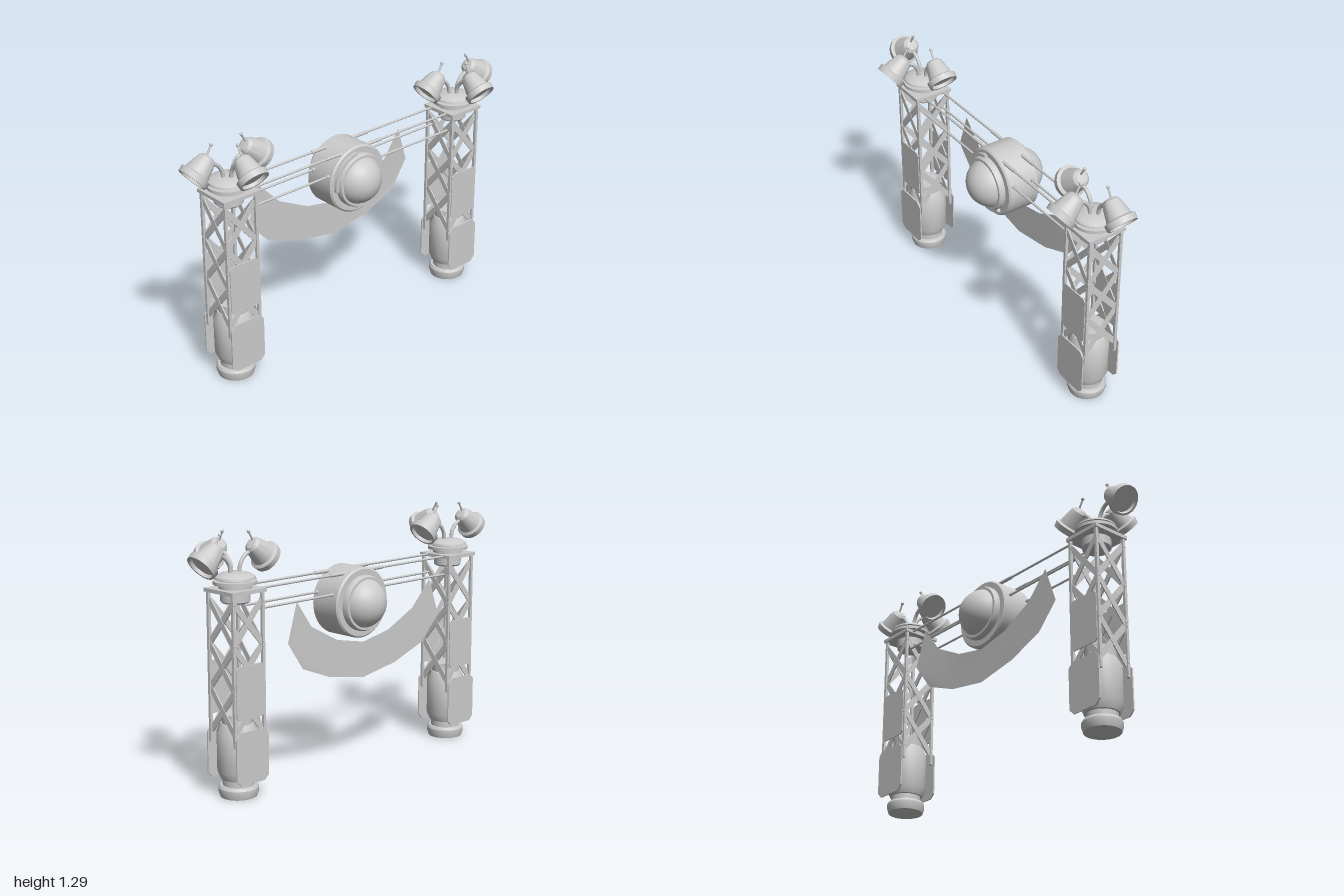
import * as THREE from 'three';
import { toCreasedNormals } from 'three/addons/utils/BufferGeometryUtils.js';

const grey = new THREE.MeshStandardMaterial({ color: 0xcccccc });
const greyDouble = new THREE.MeshStandardMaterial({ color: 0xcccccc, side: THREE.DoubleSide });

function add(parent, name, geometry, x = 0, y = 0, z = 0, material = grey) {
  const mesh = new THREE.Mesh(geometry, material);
  mesh.name = name;
  mesh.position.set(x, y, z);
  parent.add(mesh);
  return mesh;
}

// Turned part from [radius, height] pairs, listed bottom to top
function lathe(points, segments = 32) {
  const profile = points.map(([r, y]) => new THREE.Vector2(r, y));
  return toCreasedNormals(new THREE.LatheGeometry(profile, segments), 0.5);
}

// Straight round rod between two points
function rod(parent, name, a, b, radius) {
  const from = new THREE.Vector3(...a), to = new THREE.Vector3(...b);
  const dir = to.clone().sub(from);
  const mesh = add(parent, name, new THREE.CylinderGeometry(radius, radius, dir.length(), 10));
  mesh.position.copy(from).add(to).multiplyScalar(0.5);
  mesh.quaternion.setFromUnitVectors(new THREE.Vector3(0, 1, 0), dir.normalize());
  return mesh;
}

// Flat plate with cut corners
function panel(w, h, cut, depth) {
  const x = w / 2, y = h / 2;
  const corners = [[-x + cut, -y], [x - cut, -y], [x, -y + cut], [x, y - cut],
    [x - cut, y], [-x + cut, y], [-x, y - cut], [-x, -y + cut]];
  const shape = new THREE.Shape(corners.map(([px, py]) => new THREE.Vector2(px, py)));
  return new THREE.ExtrudeGeometry(shape, { depth, bevelEnabled: false }).translate(0, 0, -depth / 2);
}

// Bell lamp on a bent arm, reaching out along +x
function createLamp() {
  const lamp = new THREE.Group();
  lamp.name = 'lamp';
  const arm = new THREE.CatmullRomCurve3([[0.025, 1.08], [0.035, 1.135], [0.07, 1.175], [0.13, 1.185]]
    .map(([x, y]) => new THREE.Vector3(x, y, 0)));
  add(lamp, 'lampArm', new THREE.TubeGeometry(arm, 16, 0.01, 10));
  const bell = add(lamp, 'lampBell', lathe([[0, 0.018], [0.062, 0.018], [0.065, 0], [0.075, 0], [0.078, 0.03],
    [0.063, 0.038], [0.049, 0.1], [0.042, 0.122], [0.028, 0.134], [0, 0.138]]), 0.205, 1.138);
  bell.rotation.z = 0.885;
  rod(lamp, 'antenna', [0.122, 1.22, 0], [0.087, 1.28, 0], 0.005);
  add(lamp, 'antennaTip', new THREE.SphereGeometry(0.0085, 12, 8), 0.087, 1.28, 0);
  return lamp;
}

function createTower() {
  const tower = new THREE.Group();
  tower.name = 'tower';

  // Canister base
  add(tower, 'baseCanister', lathe([[0, 0], [0.09, 0], [0.098, 0.025], [0.098, 0.045], [0.09, 0.058], [0.077, 0.058],
    [0.077, 0.088], [0.085, 0.09], [0.102, 0.13], [0.102, 0.325], [0.082, 0.365], [0.076, 0.367], [0.076, 0.415], [0, 0.415]]));

  // Corner posts
  for (const x of [-1, 1]) for (const z of [-1, 1])
    add(tower, 'cornerPost', new THREE.BoxGeometry(0.015, 0.735, 0.015), x * 0.09, 0.638, z * 0.09);

  // Crossed braces on all four faces
  const half = 0.105;
  for (let side = 0; side < 4; side++) {
    const face = new THREE.Group();
    face.name = 'bracedFace';
    face.rotation.y = side * Math.PI / 2;
    for (const y of [0.435, 0.648, 0.862]) for (const s of [-1, 1]) {
      const bar = add(face, 'crossBrace', new THREE.BoxGeometry(0.03, 2 * Math.hypot(half, 0.088), 0.006), 0, y, 0.088 + s * 0.001);
      bar.rotation.z = s * Math.atan2(0.088, half);
    }
    tower.add(face);
  }

  // Front and back plates
  for (const s of [-1, 1]) {
    add(tower, 'upperPanel', panel(0.172, 0.262, 0.014, 0.006), 0, 0.536, s * 0.099);
    add(tower, 'lowerPanel', panel(0.2, 0.262, 0.026, 0.007), 0, 0.216, s * 0.108);
  }

  // Cap plate and turned head
  add(tower, 'capPlate', new THREE.BoxGeometry(0.21, 0.018, 0.21), 0, 1.013, 0);
  add(tower, 'capPlug', lathe([[0, 0.952], [0.064, 0.952], [0.072, 0.96], [0.072, 1.005]]));
  add(tower, 'head', lathe([[0.078, 1.02], [0.078, 1.042], [0.106, 1.042], [0.106, 1.058], [0.085, 1.06],
    [0.085, 1.067], [0.1, 1.067], [0.097, 1.077], [0.075, 1.09], [0.045, 1.097], [0, 1.099]]));

  // Three lamps: both sides and front
  for (const angle of [0, Math.PI, -Math.PI / 2]) {
    const lamp = createLamp();
    lamp.rotation.y = angle;
    tower.add(lamp);
  }
  return tower;
}

// Drum with a glass-like dome at each end, its axis along z
function createDrum() {
  const drum = new THREE.Group();
  drum.name = 'centralDrum';
  const body = add(drum, 'drumBody', lathe([[0, -0.09], [0.172, -0.09], [0.18, -0.082], [0.18, 0.082], [0.172, 0.09], [0, 0.09]], 48));
  body.rotation.x = Math.PI / 2;
  for (const s of [-1, 1]) {
    const end = new THREE.Group();
    end.name = 'drumEnd';
    end.rotation.x = s * Math.PI / 2;
    add(end, 'domeCollar', lathe([[0.142, 0.088], [0.142, 0.108], [0.135, 0.122], [0.118, 0.122]], 48));
    add(end, 'dome', new THREE.SphereGeometry(0.13, 40, 16, 0, Math.PI * 2, 0, Math.PI / 2), 0, 0.078, 0);
    drum.add(end);
  }
  // Raised partial rims on the front
  for (const [from, to] of [[1.7, 3.3], [4.6, 5.4]]) {
    const arc = new THREE.Shape();
    arc.absarc(0, 0, 0.157, from, to, false);
    arc.absarc(0, 0, 0.136, to, from, true);
    add(drum, 'rimSegment', new THREE.ExtrudeGeometry(arc, { depth: 0.022, bevelEnabled: false, curveSegments: 16 }), 0, 0, 0.085);
  }
  return drum;
}

// Hanging curved strip
function createBanner() {
  const lower = [[-0.56, 0.72], [-0.435, 0.59], [-0.23, 0.515], [0, 0.475], [0.23, 0.515], [0.42, 0.59], [0.525, 0.735]];
  const upper = [[-0.49, 0.92], [-0.36, 0.785], [-0.18, 0.695], [0, 0.66], [0.18, 0.697], [0.355, 0.79], [0.46, 0.93]];
  const outline = [...lower, ...upper.reverse()].map(([x, y]) => new THREE.Vector2(x, y));
  const geometry = new THREE.ShapeGeometry(new THREE.Shape(outline));
  const p = geometry.attributes.position;
  for (let i = 0; i < p.count; i++) p.setZ(i, -0.122 - 0.1 * Math.max(0, p.getX(i) - 0.37));
  geometry.computeVertexNormals();
  return geometry;
}

export function createModel() {
  const model = new THREE.Group();
  model.name = 'lampGate';

  for (const s of [-1, 1]) {
    const tower = createTower();
    tower.position.set(s * 0.747, 0, -0.018);
    model.add(tower);
  }

  // Four rods between the towers, with sleeves at the drum
  for (const y of [1.015, 0.917]) for (const z of [0.035, -0.075]) {
    rod(model, 'spanRod', [-0.66, y, z], [0.66, y, z], 0.006);
    for (const s of [-1, 1]) rod(model, 'rodSleeve', [s * 0.08, y, z], [s * 0.185, y, z], 0.009);
  }

  const drum = createDrum();
  drum.position.set(0, 0.86, -0.028);
  model.add(drum);

  add(model, 'banner', createBanner(), 0, 0, 0, greyDouble);
  return model;
}
